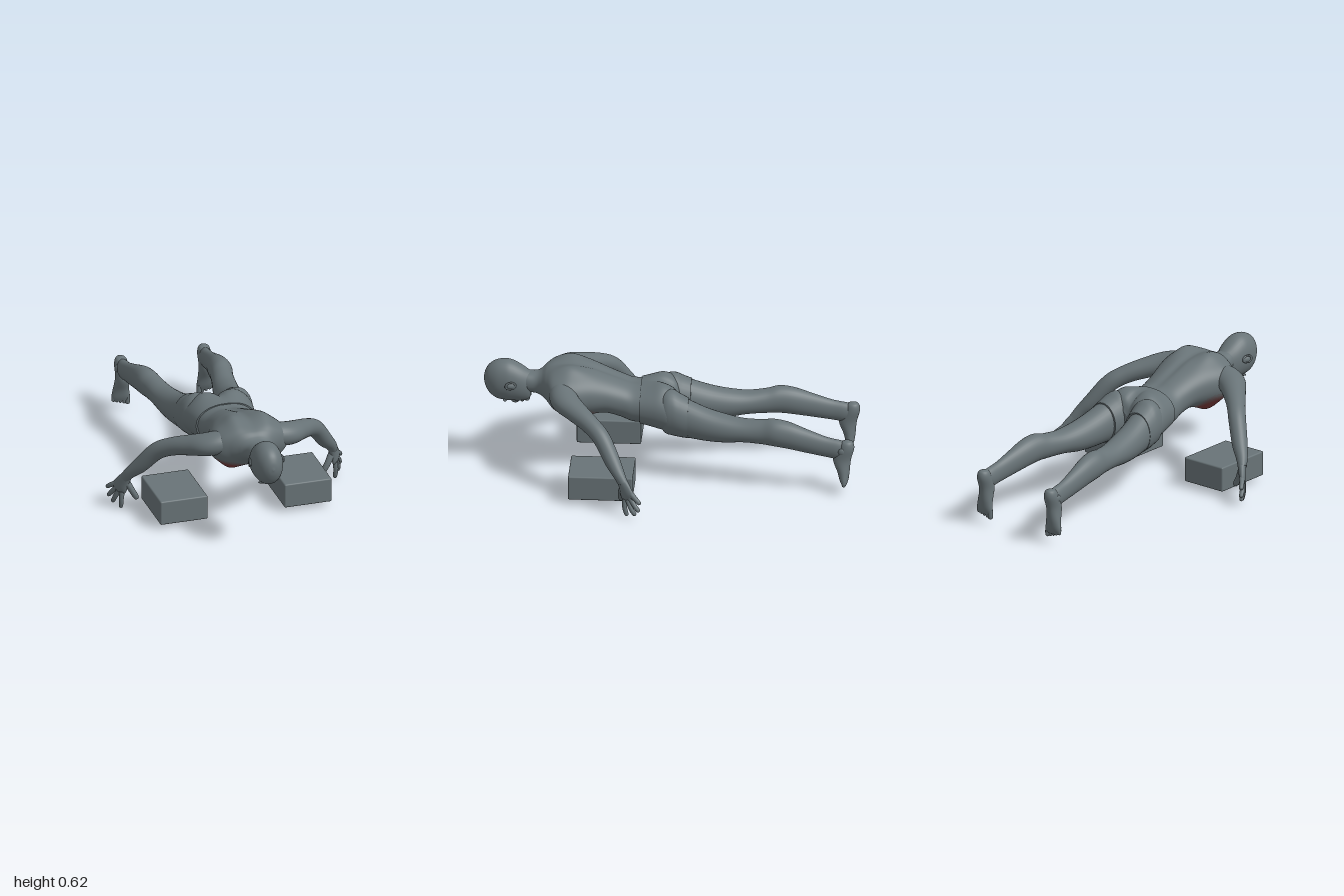
import * as THREE from 'three';
import { RoundedBoxGeometry } from 'three/addons/geometries/RoundedBoxGeometry.js';

const material = (name, color) => {
  const m = new THREE.MeshStandardMaterial({ color });
  m.name = name;
  return m;
};

// Smooth closed skin through sections [x, y, z, a, b]: a is the side radius, b the radius along "up".
// flat: keep every ring square to this axis. warp: moves a vertex. tone: picks a material index per face.
function loft(sections, { flat, up = [0, 1, 0], power = 2, steps = 6, sides = 24, warp, tone, tones = 1 } = {}) {
  const n = sections.length, rings = (n - 1) * steps;
  const spline = new THREE.CubicInterpolant(sections.map((_, i) => i), sections.flat(), 5);
  const at = t => [...spline.evaluate(Math.min(Math.max(t, 0), n - 1))];
  const centre = t => new THREE.Vector3(...at(t).slice(0, 3));
  const upV = new THREE.Vector3(...up), pos = [], tris = Array.from({ length: tones }, () => []);
  const bend = (c, p) => Math.sign(c) * Math.abs(c) ** (2 / p);
  for (let i = 0; i <= rings; i++) {
    const t = i / steps, s = at(t), c = centre(t);
    const T = flat ? new THREE.Vector3() : centre(t + 0.1).sub(centre(t - 0.1)).normalize();
    if (flat) T[flat] = Math.sign(centre(n - 1)[flat] - centre(0)[flat]);
    const u = new THREE.Vector3().crossVectors(upV, T).normalize();
    const v = new THREE.Vector3().crossVectors(T, u);
    for (let j = 0; j < sides; j++) {
      const w = j / sides * Math.PI * 2;
      const p = c.clone().addScaledVector(u, s[3] * bend(Math.cos(w), power))
        .addScaledVector(v, s[4] * bend(Math.sin(w), power));
      if (warp) warp(p, s);
      pos.push(p.x, p.y, p.z);
    }
  }
  const point = k => new THREE.Vector3().fromArray(pos, k * 3);
  const face = (a, b, c) => {
    const m = point(a).add(point(b)).add(point(c)).divideScalar(3);
    tris[tone ? tone(m) : 0].push(a, b, c);
  };
  for (let i = 0; i < rings; i++) for (let j = 0; j < sides; j++) {
    const a = i * sides + j, b = i * sides + (j + 1) % sides;
    face(a, b, a + sides);
    face(b, b + sides, a + sides);
  }
  // End caps have their own vertices so their rims stay sharp
  for (const ring of [0, rings]) {
    const base = pos.length / 3, c = centre(ring / steps);
    for (let j = 0; j < sides; j++) pos.push(...point(ring * sides + j).toArray());
    pos.push(c.x, c.y, c.z);
    for (let j = 0; j < sides; j++) {
      const a = base + j, b = base + (j + 1) % sides;
      ring ? face(a, b, base + sides) : face(b, a, base + sides);
    }
  }
  const g = new THREE.BufferGeometry();
  g.setAttribute('position', new THREE.Float32BufferAttribute(pos, 3));
  g.setIndex(tris.flat());
  if (tone) {
    let start = 0;
    tris.forEach((list, k) => { g.addGroup(start, list.length, k); start += list.length; });
  }
  g.computeVertexNormals();
  return g;
}

// Body section along z: [z, half width, top, bottom, centre x]
const slices = (list, s = 1) => list.map(([z, w, top, bottom, x = 0]) =>
  [x * s, (top + bottom) / 2, z, w, (top - bottom) / 2]);

const bump = (x, z, x0, z0, wx, wz) => Math.exp(-(((x - x0) / wx) ** 2) - ((z - z0) / wz) ** 2);

export function createModel() {
  const model = new THREE.Group();
  model.name = 'pushUpFigure';
  const grey = material('slate grey', 0x687377);
  const chestTones = [grey, material('warm grey', 0x6a696c), material('faint red', 0x6e5e60),
    material('soft red', 0x725253), material('medium red', 0x764545), material('muscle red', 0x7a3939)];
  const add = (name, geometry, parent = model, mat = grey) => {
    const mesh = new THREE.Mesh(geometry, mat);
    mesh.name = name;
    parent.add(mesh);
    return mesh;
  };

  // Torso with shoulder blades, spine groove and highlighted chest muscles
  add('torso', loft(slices([
    [0.77, 0.06, 0.556, 0.44], [0.72, 0.068, 0.553, 0.436], [0.69, 0.092, 0.563, 0.428], [0.66, 0.135, 0.585, 0.41],
    [0.62, 0.195, 0.6, 0.375], [0.56, 0.22, 0.61, 0.348], [0.5, 0.21, 0.61, 0.338], [0.42, 0.182, 0.597, 0.346],
    [0.34, 0.157, 0.568, 0.348], [0.26, 0.145, 0.536, 0.325], [0.2, 0.15, 0.514, 0.302], [0.13, 0.162, 0.512, 0.298]]), {
    flat: 'z', power: 2.15, steps: 10, sides: 96,
    warp: (p, s) => {
      const x = Math.abs(p.x), k = (p.y - s[1]) / s[4];
      if (k > 0) p.y += k * (0.024 * bump(x, p.z, 0.09, 0.54, 0.045, 0.09) - 0.012 * bump(x, p.z, 0, 0.4, 0.025, 0.2));
      else p.y += k * (0.034 * bump(x, p.z, 0.1, 0.51, 0.06, 0.08) - 0.008 * bump(x, p.z, 0, 0.5, 0.02, 0.1));
    },
    tones: chestTones.length,
    tone: p => {
      const d = Math.hypot((Math.abs(p.x) - 0.1) / 0.15, (p.z - 0.515) / 0.14, Math.max(0, p.y - 0.345) / 0.12);
      return Math.min(5, Math.max(0, Math.ceil((1 - d) * 10)));
    },
  }), model, chestTones);

  // Head, face down, crown towards +z
  const head = new THREE.Group();
  head.name = 'head';
  model.add(head);
  add('skull', loft(slices([
    [1, 0.004, 0.515, 0.507], [0.992, 0.03, 0.552, 0.47], [0.97, 0.055, 0.588, 0.428], [0.93, 0.075, 0.613, 0.397],
    [0.88, 0.082, 0.62, 0.387], [0.84, 0.08, 0.61, 0.385], [0.8, 0.073, 0.588, 0.385], [0.765, 0.06, 0.564, 0.392],
    [0.745, 0.045, 0.55, 0.415]]), { flat: 'z', power: 2.1, sides: 40 }), head);
  const blob = (name, x, y, z, rx, ry, rz, parent) => {
    const mesh = add(name, new THREE.SphereGeometry(1, 20, 14), parent);
    mesh.position.set(x, y, z);
    mesh.scale.set(rx, ry, rz);
    return mesh;
  };
  blob('nose', 0, 0.386, 0.832, 0.014, 0.02, 0.024, head);
  blob('lips', 0, 0.388, 0.793, 0.026, 0.01, 0.012, head);
  blob('chin', 0, 0.398, 0.768, 0.03, 0.016, 0.016, head);
  blob('brow', 0, 0.394, 0.885, 0.05, 0.012, 0.014, head);

  // Shorts seat with rounded buttocks and a cleft
  add('shortsSeat', loft(slices([
    [0.156, 0.166, 0.516, 0.293], [0.1, 0.179, 0.525, 0.28], [0.05, 0.191, 0.525, 0.268],
    [0, 0.2, 0.508, 0.262], [-0.03, 0.19, 0.485, 0.27], [-0.05, 0.14, 0.44, 0.3]]), {
    flat: 'z', power: 2.2, sides: 64, steps: 8,
    warp: (p, s) => {
      const x = Math.abs(p.x), k = (p.y - s[1]) / s[4];
      if (k > 0) p.y += k * (0.024 * bump(x, p.z, 0.1, 0.02, 0.06, 0.07) - 0.03 * bump(x, p.z, 0, -0.02, 0.02, 0.09));
    },
  }));

  for (const s of [1, -1]) {
    const side = s > 0 ? 'left' : 'right';
    const group = name => {
      const g = new THREE.Group();
      g.name = side + name;
      model.add(g);
      return g;
    };
    const mirror = list => list.map(([x, ...rest]) => [x * s, ...rest]);

    // Ear
    blob(side + 'Ear', s * 0.082, 0.5, 0.848, 0.012, 0.019, 0.028, head).rotation.y = s * 0.3;
    const rim = add(side + 'EarRim', new THREE.TorusGeometry(0.019, 0.005, 8, 20), head);
    rim.position.set(s * 0.088, 0.503, 0.852);
    rim.rotation.y = Math.PI / 2 + s * 0.3;
    rim.scale.x = 1.35;

    // Arm
    const arm = group('Arm');
    add('armSkin', loft(mirror([
      [0.09, 0.495, 0.57, 0.05, 0.05], [0.155, 0.503, 0.572, 0.068, 0.062], [0.23, 0.49, 0.547, 0.076, 0.061],
      [0.3, 0.468, 0.487, 0.063, 0.055], [0.38, 0.434, 0.407, 0.05, 0.049], [0.445, 0.385, 0.34, 0.047, 0.047],
      [0.515, 0.285, 0.277, 0.042, 0.042], [0.56, 0.23, 0.24, 0.032, 0.032],
      [0.585, 0.188, 0.214, 0.024, 0.029]]), { sides: 32 }), arm);

    // Hand with spread fingers
    const hand = group('Hand');
    add('palm', loft(mirror([
      [0.573, 0.205, 0.224, 0.023, 0.027], [0.592, 0.165, 0.205, 0.02, 0.038], [0.606, 0.126, 0.19, 0.017, 0.046],
      [0.615, 0.098, 0.178, 0.009, 0.038]]), { up: [0.38 * s, 0.76, -0.53] }), hand);
    const fingers = {
      indexFinger: [[0.598, 0.105, 0.206], [0.602, 0.055, 0.205], [0.6, 0.003, 0.193]],
      middleFinger: [[0.61, 0.105, 0.187], [0.626, 0.06, 0.17], [0.632, 0.022, 0.146]],
      ringFinger: [[0.616, 0.12, 0.174], [0.638, 0.083, 0.15], [0.65, 0.052, 0.124]],
      littleFinger: [[0.618, 0.143, 0.17], [0.641, 0.122, 0.143], [0.656, 0.1, 0.118]],
      thumb: [[0.582, 0.175, 0.213], [0.55, 0.115, 0.228], [0.519, 0.06, 0.23]],
    };
    for (const [name, [a, b, c]] of Object.entries(fingers)) {
      const near = c.map((v, i) => v + (b[i] - v) * 0.2), w = name === 'thumb' ? 1.3 : 1;
      add(name, loft(mirror([[...a, 0.015 * w, 0.015 * w], [...b, 0.013 * w, 0.013 * w],
        [...near, 0.011 * w, 0.011 * w], [...c, 0.003, 0.003]]), { sides: 14, up: [0, 0, 1] }), hand);
    }

    // Leg and shorts leg
    const leg = group('Leg');
    add('shortsLeg', loft(slices([
      [0.06, 0.06, 0.48, 0.32, 0.1], [0.02, 0.088, 0.512, 0.27, 0.106],
      [-0.02, 0.099, 0.515, 0.258, 0.106], [-0.06, 0.097, 0.495, 0.253, 0.113], [-0.105, 0.09, 0.474, 0.25, 0.121]], s),
    { flat: 'z', sides: 32 }), leg);
    add('legSkin', loft(slices([
      [-0.08, 0.085, 0.477, 0.256, 0.12], [-0.2, 0.081, 0.431, 0.247, 0.14], [-0.3, 0.077, 0.405, 0.248, 0.155],
      [-0.4, 0.069, 0.39, 0.26, 0.172], [-0.5, 0.062, 0.396, 0.26, 0.19], [-0.57, 0.063, 0.408, 0.256, 0.205],
      [-0.65, 0.057, 0.396, 0.245, 0.212], [-0.75, 0.044, 0.36, 0.227, 0.221], [-0.85, 0.034, 0.325, 0.21, 0.228],
      [-0.92, 0.034, 0.31, 0.2, 0.231], [-0.97, 0.026, 0.3, 0.22, 0.233]], s), { flat: 'z', sides: 32 }), leg);

    // Foot pointing down, toes at the floor
    const foot = group('Foot');
    add('footSkin', loft(mirror([
      [0.233, 0.312, -0.965, 0.008, 0.01], [0.233, 0.3, -0.962, 0.028, 0.032], [0.233, 0.265, -0.957, 0.037, 0.043],
      [0.234, 0.2, -0.935, 0.036, 0.048], [0.238, 0.13, -0.943, 0.044, 0.033], [0.239, 0.085, -0.946, 0.051, 0.024],
      [0.238, 0.058, -0.947, 0.047, 0.014]]), { flat: 'y', up: [0, 0, 1] }), foot);
    blob('ankleBone', s * 0.262, 0.255, -0.935, 0.01, 0.02, 0.02, foot);
    for (let i = 0; i < 5; i++) {
      const x = 0.2 + i * 0.02, r = i ? 0.0105 : 0.014, tip = 0.03 + i * 0.006;
      add('toe' + (i + 1), loft(mirror([
        [x, 0.085, -0.945, r, r], [x, tip + 0.02, -0.946, r, r], [x, tip + 0.006, -0.946, r * 0.8, r * 0.8],
        [x, tip, -0.946, 0.002, 0.002]]), { flat: 'y', up: [0, 0, 1], sides: 12 }), foot);
    }

    // Push-up block
    add(side + 'Block', new RoundedBoxGeometry(0.265, 0.137, 0.345, 3, 0.008)).position.set(s * 0.348, 0.098, 0.345);
  }
  return model;
}
